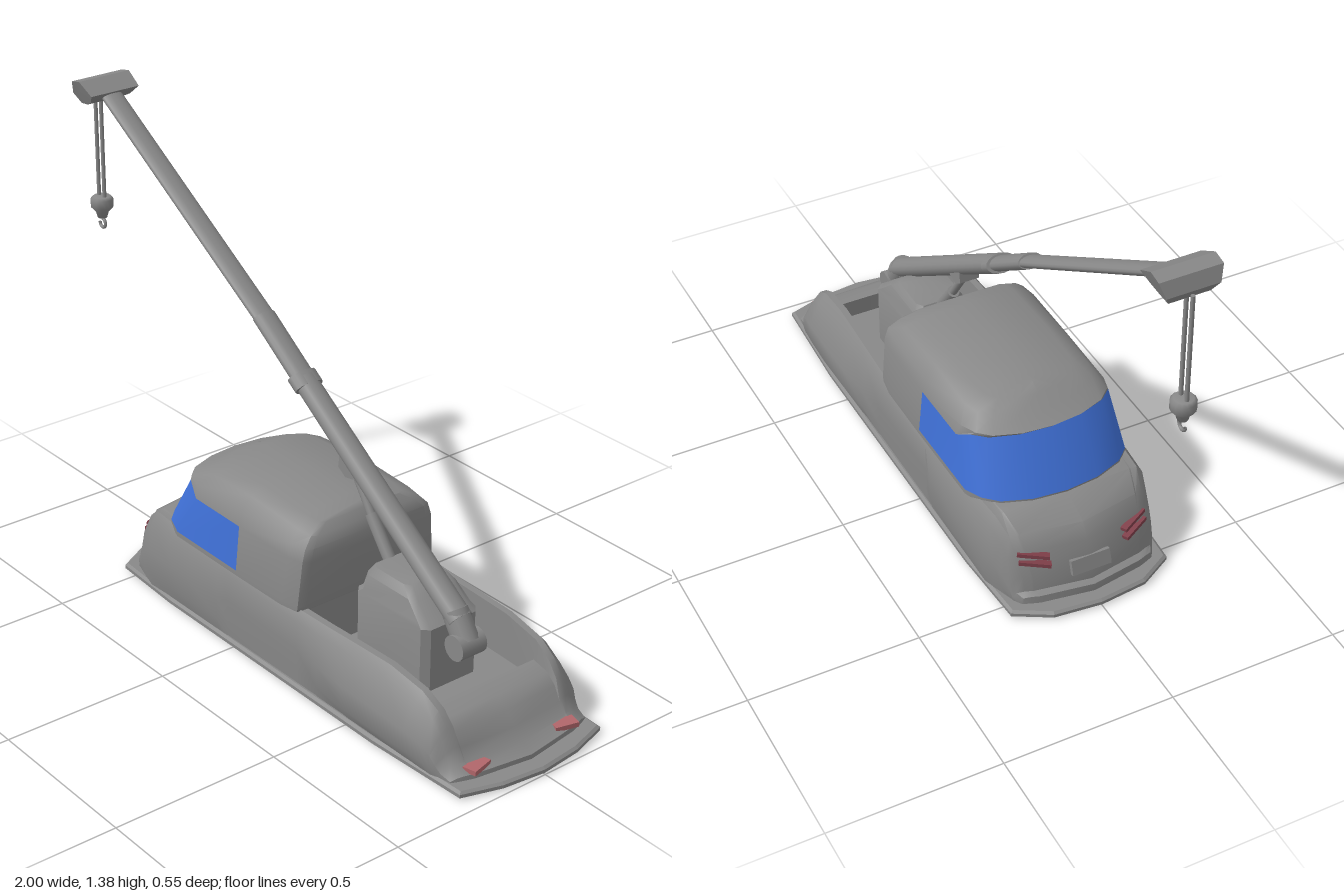
import * as THREE from 'three';
import { toCreasedNormals } from 'three/addons/utils/BufferGeometryUtils.js';

const mat = (color) => new THREE.MeshStandardMaterial({ color, side: THREE.DoubleSide });
const paint = mat(0x888888), blue = mat(0x3f70d6), darkRed = mat(0x80404a), pink = mat(0xb0666a);

// Skin between successive rings of [x, y, z]; keep(i, j) chooses the quads
function loft(rings, keep = () => true) {
  const n = rings[0].length, index = [];
  for (let i = 0; i < rings.length - 1; i++)
    for (let j = 0; j < n - 1; j++) {
      if (!keep(i, j)) continue;
      const a = i * n + j, b = a + 1, d = a + n, c = d + 1;
      index.push(a, d, b, d, c, b);
    }
  const g = new THREE.BufferGeometry();
  g.setAttribute('position', new THREE.Float32BufferAttribute(rings.flat(2), 3));
  g.setIndex(index);
  return toCreasedNormals(g, 0.65);
}

// Completes a half ring (centre line to centre line) with its mirror image in z
const mirrorRing = (half) => [...half, ...half.slice(0, -1).reverse().map(([x, y, z]) => [x, y, -z])];

export function createModel() {
  const model = new THREE.Group();
  const add = (name, geo, material = paint) => {
    const m = new THREE.Mesh(geo, material);
    m.name = name;
    model.add(m);
    return m;
  };
  // Tapered rod in the plane z = 0; flat squashes it within that plane
  const rod = (name, [ax, ay], [bx, by], r1, r2, flat = 1, sides = 16) => {
    const m = add(name, new THREE.CylinderGeometry(r2, r1, Math.hypot(bx - ax, by - ay), sides));
    m.position.set((ax + bx) / 2, (ay + by) / 2, 0);
    m.rotation.z = Math.atan2(by - ay, bx - ax) - Math.PI / 2;
    m.scale.x = flat;
  };
  // Side profile extruded across z, centred
  const slab = (points, width) => new THREE.ExtrudeGeometry(
    new THREE.Shape(points.map((p) => new THREE.Vector2(...p))),
    { depth: width, bevelEnabled: false }).translate(0, 0, -width / 2);

  // Skirt: flat rim around the open underside
  const outline = (d) => {
    const half = [[-0.62 + d, 0], [-0.605 + d, 0.14], [-0.55 + d, 0.245 - d], [-0.3, 0.26 - d],
      [0.62, 0.265 - d], [0.95 - d, 0.25 - d], [0.985 - d, 0.13], [1 - d, 0]];
    return [...half, ...half.slice(1, -1).reverse().map(([x, z]) => [x, -z])]
      .map((p) => new THREE.Vector2(...p));
  };
  const rim = new THREE.Shape(outline(0.008));
  rim.holes.push(new THREE.Path(outline(0.06)));
  add('skirt', new THREE.ExtrudeGeometry(rim, {
    depth: 0.01, bevelThickness: 0.006, bevelSize: 0.008, bevelSegments: 1,
  }).rotateX(Math.PI / 2).translate(0, 0.016, 0));

  // Lower body stations: x, rail height, bottom / bulge / shoulder half width, centre height
  const stations = [
    [-0.577, 0.016, 0.20, 0.20, 0.20, 0.016], [-0.575, 0.045, 0.20, 0.205, 0.20, 0.045],
    [-0.558, 0.052, 0.215, 0.22, 0.21, 0.052], [-0.55, 0.10, 0.22, 0.225, 0.21, 0.10],
    [-0.527, 0.17, 0.23, 0.235, 0.22, 0.17],
    [-0.50, 0.21, 0.24, 0.245, 0.225, 0.215], [-0.41, 0.25, 0.25, 0.258, 0.24, 0.253],
    [-0.3, 0.25, 0.25, 0.262, 0.248, 0.25], [-0.2, 0.25, 0.25, 0.263, 0.25, 0.25],
    [-0.07, 0.25, 0.25, 0.26, 0.25, 0.25], [-0.03, 0.25, 0.25, 0.25, 0.25, 0.25],
    [0.28, 0.24, 0.25, 0.252, 0.25, 0.24],
    [0.281, 0.24, 0.25, 0.252, 0.25, 0.10], [0.38, 0.237, 0.25, 0.262, 0.245, 0.10],
    [0.5, 0.237, 0.25, 0.274, 0.24, 0.10], [0.63, 0.236, 0.25, 0.276, 0.235, 0.10],
    [0.75, 0.215, 0.25, 0.27, 0.23, 0.10], [0.751, 0.215, 0.25, 0.27, 0.23, 0.155],
    [0.81, 0.18, 0.25, 0.262, 0.225, 0.147], [0.85, 0.14, 0.25, 0.256, 0.222, 0.122],
    [0.88, 0.09, 0.247, 0.25, 0.22, 0.085], [0.91, 0.055, 0.243, 0.245, 0.22, 0.052],
    [0.948, 0.035, 0.24, 0.24, 0.22, 0.035], [0.95, 0.016, 0.24, 0.24, 0.22, 0.016],
  ];
  const bodyRings = stations.map(([x, h, wb, wm, wt, c]) => {
    const y = (t) => 0.015 + (h - 0.015) * t;
    // Nose and tail bow towards the centre line
    const bow = 0.055 * THREE.MathUtils.smoothstep(-x, 0.38, 0.52)
      - 0.045 * THREE.MathUtils.smoothstep(x, 0.8, 0.95);
    return mirrorRing([[wb, 0.015], [wm, y(0.2)], [wm, y(0.5)], [wt, y(0.88)],
      [wt - 0.02, h], [wt - 0.04, h], [wt - 0.045, c], [0, c]]
      .map(([z, yy]) => [x + bow * (z / 0.23) ** 2, yy, z]));
  });
  // The shell is open below the cab
  add('body', loft(bodyRings, (i, j) => !(i >= 7 && i <= 10 && j >= 4 && j <= 9)));

  // Cab rings: height, front x, rear x, half width, extra height at the windscreen
  const levels = [
    [0.235, -0.41, 0.28, 0.25, 0], [0.25, -0.41, 0.283, 0.25, 0.008],
    [0.385, -0.315, 0.287, 0.237, 0.03], [0.42, -0.325, 0.285, 0.226, 0.005],
    [0.465, -0.275, 0.272, 0.195, 0], [0.486, -0.235, 0.255, 0.15, 0],
    [0.498, -0.2, 0.24, 0, 0],
  ];
  const plan = [[0, 0], [0.015, 0.4], [0.06, 0.74], [0.115, 0.9], [0.2, 0.985], [0.6, 1],
    [0.9, 1], [0.985, 0.96], [1, 0.86], [1, 0]];
  const cabRings = levels.map(([y, xf, xr, w, lift], i) => mirrorRing(plan.map(([u, v], k) => {
    const x = k === 5 ? 0.01 : xf + (xr - xf) * u;
    return [x, y + (k < 4 ? lift : 0) - (i > 3 ? 0.25 * x * x : 0), -w * v];
  })));
  const isGlass = (i, j) => i === 1 && (j < 5 || j > 12);
  add('cab', loft(cabRings, (i, j) => !isGlass(i, j)));
  add('windows', loft(cabRings, isGlass), blue);

  // Lights on both sides, and the front plate
  for (const s of [1, -1]) {
    for (const k of [0, 1]) {
      const lamp = add('headlight', new THREE.BoxGeometry(0.02, 0.011, 0.09), darkRed);
      lamp.position.set(-0.514 + k * 0.01, 0.138 + k * 0.022, s * 0.155);
      lamp.rotation.set(-s * 0.15, s * 0.45, 0);
    }
    const tail = add('tailLight', new THREE.BoxGeometry(0.04, 0.014, 0.07), pink);
    tail.position.set(0.906, 0.044, s * 0.155);
    tail.rotation.y = s * 0.25;
  }
  const plate = add('frontPlate', new THREE.BoxGeometry(0.014, 0.045, 0.12));
  plate.position.set(-0.546, 0.105, 0);
  plate.rotation.z = -0.3;

  // Crane pedestal: upright box with a domed cover; rings of height, rear x, front x, half width
  const pedestalRings = [[0.09, 0.335, 0.632, 0.097], [0.288, 0.335, 0.632, 0.097],
    [0.3, 0.35, 0.615, 0.092], [0.345, 0.362, 0.565, 0.084], [0.37, 0.378, 0.53, 0.07],
    [0.376, 0.4, 0.51, 0]].map(([y, x0, x1, w]) => mirrorRing([[x0, y, 0], [x0, y, -w * 0.8],
    [x0 + 0.02, y, -w], [x1 - 0.02, y, -w], [x1, y, -w * 0.8], [x1, y, 0]]));
  add('cranePedestal', loft(pedestalRings));

  // Telescopic boom
  rod('boomFoot', [0.635, 0.325], [0.685, 0.25], 0.037, 0.037);
  const pivot = add('boomPivot', new THREE.CylinderGeometry(0.037, 0.037, 0.085, 16));
  pivot.rotation.x = Math.PI / 2;
  pivot.position.set(0.683, 0.243, 0);
  rod('lowerBoom', [0.66, 0.305], [0, 0.76], 0.038, 0.036, 0.78);
  rod('boomCollar', [0.022, 0.744], [-0.012, 0.768], 0.046, 0.046, 0.6);
  rod('middleBoom', [0, 0.76], [-0.18, 0.887], 0.036, 0.036, 0.6);
  rod('upperBoom', [-0.17, 0.88], [-0.91, 1.345], 0.034, 0.034, 0.48);

  // Lifting ram
  rod('ramCylinder', [0.4, 0.32], [0.29, 0.465], 0.018, 0.018);
  rod('ramPiston', [0.3, 0.452], [0.215, 0.575], 0.012, 0.012);
  add('ramBracket', slab([[0.19, 0.61], [0.185, 0.575], [0.215, 0.555], [0.245, 0.56], [0.275, 0.58]], 0.06));

  // Boom head, narrowing underneath
  const head = slab([[-0.965, 1.305], [-0.93, 1.31], [-0.9, 1.325], [-0.875, 1.352],
    [-0.93, 1.384], [-0.968, 1.376], [-0.983, 1.335]], 0.174);
  const hp = head.attributes.position;
  for (let i = 0; i < hp.count; i++)
    hp.setZ(i, hp.getZ(i) * THREE.MathUtils.mapLinear(Math.min(hp.getY(i), 1.36), 1.305, 1.36, 0.66, 1));
  add('boomHead', toCreasedNormals(head, 0.6));

  // Cables, hook block and hook
  for (const x of [-0.98, -0.952]) rod('cable', [x, 0.99], [x, 1.32], 0.006, 0.006, 1, 8);
  const block = add('hookBlock', new THREE.LatheGeometry([[0, 0.93], [0.014, 0.935], [0.02, 0.955],
    [0.034, 0.97], [0.034, 0.995], [0.026, 1.003], [0, 1.003]].map((p) => new THREE.Vector2(...p)), 14));
  block.position.x = -0.966;
  const hook = add('hook', new THREE.TorusGeometry(0.014, 0.005, 8, 16, Math.PI * 1.5));
  hook.position.set(-0.966, 0.917, 0);
  hook.rotation.z = -Math.PI;
  return model;
}
